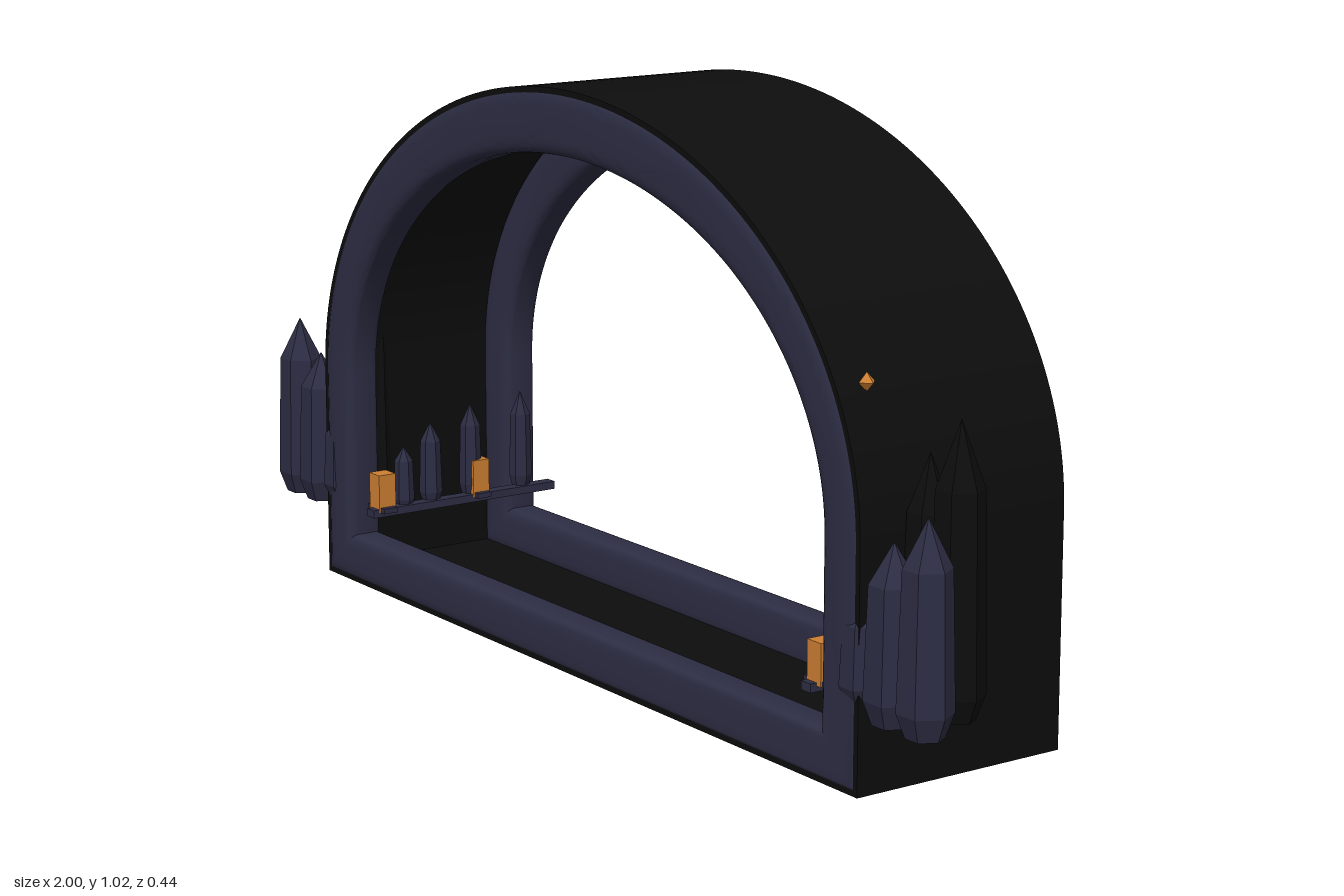
import * as THREE from 'three';
import { toCreasedNormals } from 'three/addons/utils/BufferGeometryUtils.js';

const SPRING = 0.4; // height where the arch starts to curve

function material(name, color) {
  const m = new THREE.MeshStandardMaterial({ color });
  m.name = name;
  return m;
}

// Closed outline: straight floor and legs under a half ellipse
function archShape(halfWidth, bottom, top) {
  const s = new THREE.Shape();
  s.moveTo(-halfWidth, bottom);
  s.lineTo(halfWidth, bottom);
  s.lineTo(halfWidth, SPRING);
  s.absellipse(0, SPRING, halfWidth, top - SPRING, 0, Math.PI, false);
  s.closePath();
  return s;
}

function archRing(outer, inner, options) {
  const shape = archShape(...outer);
  shape.holes.push(archShape(...inner));
  const geo = new THREE.ExtrudeGeometry(shape, { curveSegments: 56, steps: 1, ...options });
  return toCreasedNormals(geo, 0.6);
}

// Six-sided pointed crystal standing on y = 0
function crystalGeometry(radius, height) {
  const foot = Math.min(0.04, height * 0.15);
  const points = [
    [0, 0], [radius * 0.68, 0], [radius, foot], [radius * 0.86, height * 0.77], [0, height],
  ].map(([x, y]) => new THREE.Vector2(x, y));
  return toCreasedNormals(new THREE.LatheGeometry(points, 6, Math.PI / 2), 0.1);
}

export function createModel() {
  const group = new THREE.Group();
  const black = material('black', 0x0d0d0d);
  const slate = material('slate violet', 0x2d2d44);
  const bronze = material('bronze', 0xcd7f32);

  function add(name, geo, mat, x = 0, y = 0, z = 0) {
    const mesh = new THREE.Mesh(geo, mat);
    mesh.name = name;
    mesh.position.set(x, y, z);
    group.add(mesh);
    return mesh;
  }

  // Thin tunnel shell
  add('shell', archRing([0.82, 0, 1.02], [0.808, 0.012, 1.008],
    { depth: 0.415, bevelEnabled: false }), black, 0, 0, -0.215);

  // Rounded rims at both mouths
  const rim = archRing([0.817, 0.003, 1.017], [0.725, 0.09, 0.905], {
    depth: 0.04, bevelEnabled: true, bevelThickness: 0.015, bevelSize: 0.028,
    bevelOffset: -0.028, bevelSegments: 5,
  });
  add('frontRim', rim, slate, 0, 0, 0.15);
  add('backRim', rim, slate, 0, 0, -0.205);

  // Crystals: x, bottom, z, radius, top, colour
  const outerCrystals = [
    [0.955, 0.13, 0.178, 0.046, 0.475, slate],
    [0.875, 0.13, 0.178, 0.046, 0.42, slate],
    [0.8, 0.15, 0.178, 0.036, 0.31, slate],
    [0.912, 0.13, 0.08, 0.046, 0.605, black],
    [0.84, 0.13, 0.08, 0.042, 0.54, black],
  ];
  const innerCrystals = [
    [0.685, 0.14, -0.155, 0.022, 0.335, slate],
    [0.685, 0.14, -0.04, 0.022, 0.325, slate],
    [0.685, 0.14, 0.05, 0.022, 0.3, slate],
    [0.685, 0.14, 0.11, 0.02, 0.26, slate],
  ];

  for (const side of [-1, 1]) {
    for (const [x, bottom, z, r, top, mat] of outerCrystals) {
      add('outerCrystal', crystalGeometry(r, top - bottom), mat, side * x, bottom, z);
    }
    for (const [x, bottom, z, r, top, mat] of innerCrystals) {
      add('innerCrystal', crystalGeometry(r, top - bottom), mat, side * x, bottom, z);
    }

    // Rail along the inner wall with lanterns on small plates
    add('rail', new THREE.BoxGeometry(0.025, 0.015, 0.41), slate, side * 0.675, 0.142, -0.015);
    for (const z of [0.16, -0.05]) {
      add('lanternPlate', new THREE.BoxGeometry(0.06, 0.01, 0.03), slate, side * 0.68, 0.148, z);
      add('lantern', new THREE.BoxGeometry(0.036, 0.072, 0.036), bronze, side * 0.68, 0.18, z);
    }

    // Small gem set on the shoulder of the arch
    add('shoulderGem', new THREE.OctahedronGeometry(0.016), bronze, side * 0.76, 0.643, 0.143);
  }
  return group;
}
